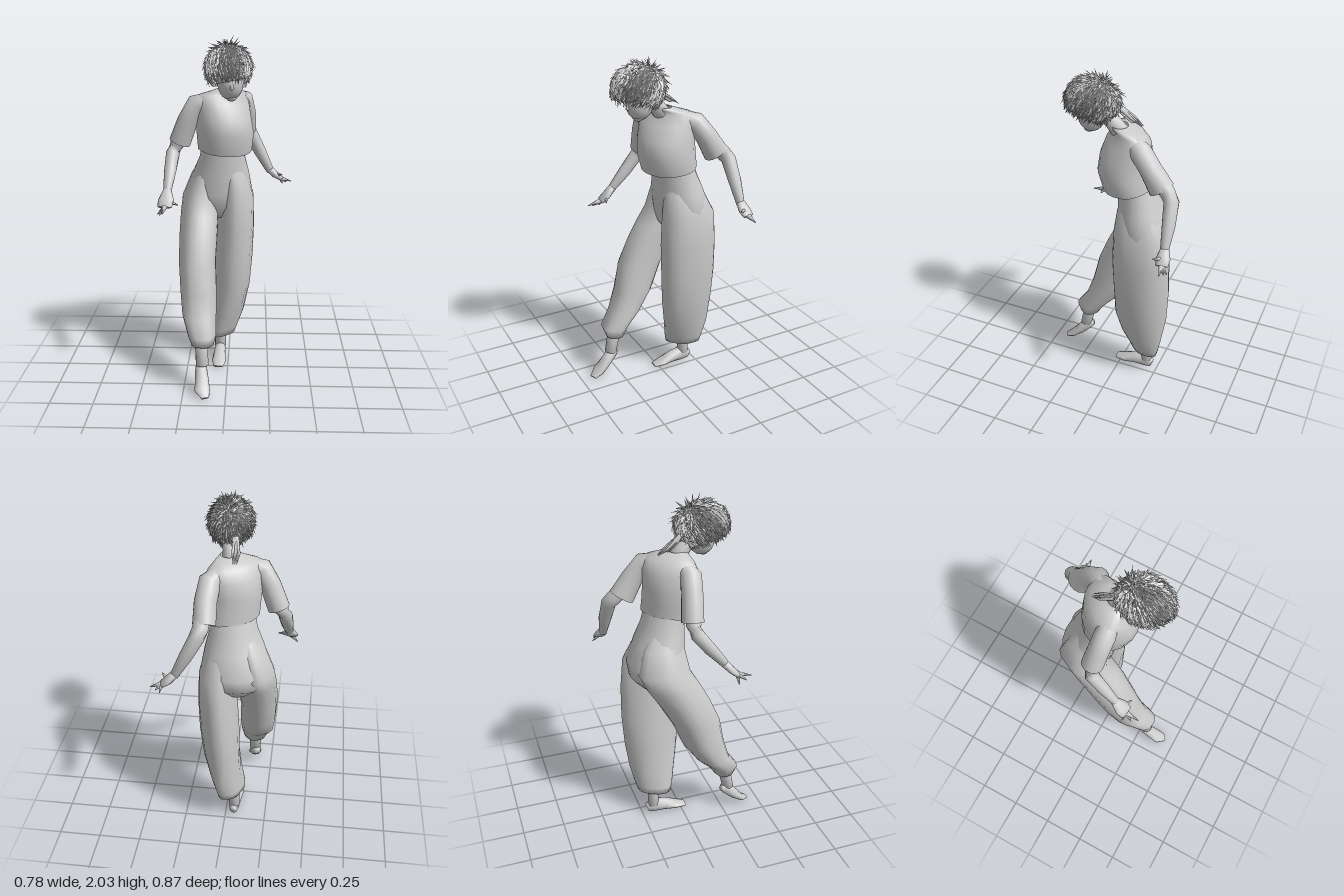
import * as THREE from 'three';

const material = new THREE.MeshStandardMaterial({ color: 0xcccccc, side: THREE.DoubleSide });
const V = (x, y, z) => new THREE.Vector3(x, y, z);
const SIDES = 20;

function seeded(seed) {
  return () => (seed = (seed * 16807) % 2147483647) / 2147483647;
}

function add(group, name, geometry) {
  const mesh = new THREE.Mesh(geometry, material);
  mesh.name = name;
  group.add(mesh);
}

// Skin through rings; point(ring, angle) returns a position
function skin(rings, point, sides = SIDES) {
  const positions = [], index = [];
  rings.forEach((ring, i) => {
    for (let j = 0; j < sides; j++) {
      positions.push(...point(ring, (j / sides) * Math.PI * 2).toArray());
      if (i === rings.length - 1) continue;
      const a = i * sides + j, b = i * sides + (j + 1) % sides;
      index.push(a, b, a + sides, b, b + sides, a + sides);
    }
  });
  const geometry = new THREE.BufferGeometry();
  geometry.setAttribute('position', new THREE.Float32BufferAttribute(positions, 3));
  geometry.setIndex(index);
  geometry.computeVertexNormals();
  return geometry;
}

// Level rings, top to bottom: [x, y, z, halfWidth, halfDepth, yaw, tilt]
function loft(rings, fold = 0, count = 5) {
  return skin(rings, ([x, y, z, w, d, yaw = 0, tilt = 0], t) => {
    const k = 1 + fold * Math.cos(count * t + y * 3);
    const px = w * k * Math.cos(t), pz = d * k * Math.sin(t);
    return V(x + px * Math.cos(yaw) + pz * Math.sin(yaw), y + tilt * Math.sin(t),
      z - px * Math.sin(yaw) + pz * Math.cos(yaw));
  });
}

// Rings square to a path: [x, y, z, radiusA, radiusB]
function limb(path, { up = V(0, 1, 0), open = false, sides = 12 } = {}) {
  const pts = path.map(p => V(p[0], p[1], p[2]));
  const rings = path.map((p, i) => {
    const t = pts[Math.min(i + 1, pts.length - 1)].clone().sub(pts[Math.max(i - 1, 0)]).normalize();
    const u = up.clone().cross(t).normalize();
    return { c: pts[i], u, v: t.clone().cross(u), a: p[3], b: p[4] ?? p[3] };
  });
  if (!open) {
    rings.unshift({ ...rings[0], a: 0, b: 0 });
    rings.push({ ...rings[rings.length - 1], a: 0, b: 0 });
  }
  return skin(rings, (r, t) => r.c.clone().addScaledVector(r.u, r.a * Math.cos(t))
    .addScaledVector(r.v, r.b * Math.sin(t)), sides);
}

function ellipsoid(center, radii, thetaLength = Math.PI, tilt = 0) {
  return new THREE.SphereGeometry(1, 24, 16, 0, Math.PI * 2, 0, thetaLength)
    .rotateX(tilt).scale(...radii).translate(...center);
}

// Short pointed locks laid over the hair cap, running down from the crown
function hairLocks(center, radii, count) {
  const random = seeded(71), positions = [];
  const crown = V(0, 0.85, -0.53);
  const scale = V(...radii), origin = V(...center);
  for (let n = 0; n < count;) {
    const y = random() * 1.75 - 0.75, turn = random() * Math.PI * 2, s = Math.sqrt(1 - y * y);
    const dir = V(s * Math.cos(turn), y, s * Math.sin(turn));
    if (y < -0.42 + 0.35 * dir.z) continue;
    n++;
    const flow = dir.clone().multiplyScalar(crown.dot(dir)).sub(crown);
    flow.add(V(random() - 0.5, random() - 0.5, random() - 0.5).multiplyScalar(0.5)).normalize();
    const side = flow.clone().cross(dir).normalize();
    const root = dir.clone().multiply(scale).add(origin);
    const length = 0.04 + random() * 0.035, width = 0.005 + random() * 0.005;
    const left = root.clone().addScaledVector(side, -width);
    const right = root.clone().addScaledVector(side, width);
    const ridge = root.clone().addScaledVector(dir, 0.008);
    const tip = root.clone().addScaledVector(flow, length).addScaledVector(dir, random() * 0.012 - 0.01);
    for (const p of [left, ridge, tip, ridge, right, tip]) positions.push(p.x, p.y, p.z);
  }
  const geometry = new THREE.BufferGeometry();
  geometry.setAttribute('position', new THREE.Float32BufferAttribute(positions, 3));
  geometry.computeVertexNormals();
  return geometry;
}

export function createModel() {
  const model = new THREE.Group();
  model.name = 'steppingFigure';

  // Head, bent forward
  const head = new THREE.Group();
  head.name = 'head';
  model.add(head);
  add(head, 'skull', ellipsoid([0.01, 1.85, 0.13], [0.095, 0.105, 0.115]));
  add(head, 'face', ellipsoid([0.02, 1.78, 0.15], [0.072, 0.095, 0.078], Math.PI, 0.3));
  add(head, 'nose', limb([[0.027, 1.79, 0.218, 0.007], [0.03, 1.757, 0.228, 0.011], [0.03, 1.75, 0.212, 0.008]],
    { up: V(0, 0, 1), sides: 8 }));
  add(head, 'chin', ellipsoid([0.025, 1.703, 0.163], [0.03, 0.024, 0.03]));
  add(head, 'neck', limb([[-0.015, 1.66, -0.03, 0.052], [-0.005, 1.74, 0.03, 0.045], [0.005, 1.82, 0.1, 0.046]]));

  // Hair
  const hairCenter = [0.008, 1.86, 0.15], hairRadii = [0.12, 0.122, 0.15];
  add(head, 'hairCap', ellipsoid(hairCenter, hairRadii, Math.PI * 0.65, -0.28));
  add(head, 'hairLocks', hairLocks(hairCenter, hairRadii, 1800));
  for (let i = 0; i < 7; i++) {
    const o = (i - 3) * 0.003, drop = (i % 3) * 0.01;
    add(head, 'ponytailStrand', limb([[-0.025 + o, 1.84, 0.03, 0.012], [-0.037 + o, 1.805 - drop, -0.02, 0.011],
      [-0.042 + o * 2, 1.77 - drop, -0.07, 0.007], [-0.043 + o, 1.73 + drop, -0.125 + drop * 2, 0.001]], { sides: 5 }));
  }

  // Loose cropped top, turned toward the left
  const turn = 0.66;
  add(model, 'top', loft([
    [-0.003, 1.735, -0.005, 0.052, 0.048, turn],
    [-0.01, 1.722, -0.02, 0.085, 0.062, turn],
    [-0.032, 1.7, -0.05, 0.155, 0.08, turn],
    [-0.03, 1.64, -0.05, 0.17, 0.122, turn],
    [-0.025, 1.55, -0.038, 0.17, 0.15, turn],
    [-0.015, 1.47, -0.035, 0.172, 0.157, turn, -0.005],
    [-0.018, 1.375, -0.055, 0.165, 0.143, turn, -0.025],
  ], 0.015, 6));

  // Waist and seat of the trousers
  add(model, 'waistAndHips', loft([
    [-0.03, 1.47, -0.07, 0.125, 0.1, 0.6],
    [-0.035, 1.33, -0.098, 0.137, 0.11, 0.5],
    [-0.045, 1.22, -0.125, 0.172, 0.136, 0.3],
    [-0.055, 1.1, -0.155, 0.2, 0.157, 0.1],
    [-0.06, 1.02, -0.155, 0.18, 0.148, 0.05],
    [-0.062, 0.95, -0.15, 0.09, 0.09],
    [-0.06, 0.93, -0.15, 0, 0],
  ]));

  // Baggy trouser legs gathered at the ankles
  add(model, 'leftTrouserLeg', loft([
    [0.01, 1.34, -0.11, 0.05, 0.07],
    [0.03, 1.22, -0.13, 0.075, 0.122],
    [0.048, 1.08, -0.155, 0.107, 0.165],
    [0.049, 0.9, -0.157, 0.111, 0.176],
    [0.038, 0.7, -0.162, 0.114, 0.173],
    [0.025, 0.5, -0.16, 0.107, 0.163],
    [0, 0.32, -0.163, 0.09, 0.138, -0.25],
    [-0.028, 0.21, -0.166, 0.075, 0.118, -0.45],
    [-0.034, 0.165, -0.166, 0.064, 0.108, -0.5],
    [-0.045, 0.19, -0.175, 0.03, 0.03],
  ], 0.035));
  add(model, 'rightTrouserLeg', loft([
    [-0.09, 1.34, -0.09, 0.05, 0.065],
    [-0.135, 1.22, -0.125, 0.08, 0.115],
    [-0.162, 1.08, -0.135, 0.11, 0.15],
    [-0.168, 0.98, -0.08, 0.113, 0.155],
    [-0.172, 0.87, -0.015, 0.113, 0.15],
    [-0.178, 0.72, 0.06, 0.109, 0.14],
    [-0.17, 0.55, 0.115, 0.107, 0.122],
    [-0.163, 0.42, 0.18, 0.1, 0.1],
    [-0.145, 0.33, 0.255, 0.083, 0.088],
    [-0.14, 0.27, 0.262, 0.065, 0.058],
    [-0.145, 0.3, 0.255, 0.03, 0.03],
  ], 0.04));

  // Bare shins and feet: left flat, right reaching on its toes
  const down = { up: V(0, 0, 1) };
  add(model, 'leftShin', limb([[-0.05, 0.3, -0.17, 0.042], [-0.052, 0.16, -0.177, 0.034], [-0.053, 0.06, -0.178, 0.035]], down));
  add(model, 'leftFoot', limb([[-0.05, 0.035, -0.218, 0.022, 0.03], [-0.052, 0.05, -0.175, 0.033, 0.048],
    [-0.055, 0.042, -0.1, 0.038, 0.038], [-0.055, 0.024, -0.03, 0.044, 0.019], [-0.058, 0.014, 0.03, 0.03, 0.009]]));
  add(model, 'rightShin', limb([[-0.145, 0.37, 0.24, 0.042], [-0.143, 0.24, 0.275, 0.038], [-0.14, 0.15, 0.295, 0.036]], down));
  add(model, 'rightFoot', limb([[-0.15, 0.155, 0.25, 0.02, 0.022], [-0.147, 0.135, 0.285, 0.034, 0.038],
    [-0.14, 0.08, 0.335, 0.04, 0.032], [-0.135, 0.035, 0.385, 0.045, 0.02], [-0.115, 0.012, 0.43, 0.024, 0.008]]));

  // Arms: sleeve, bare arm, palm and pointed fingers
  const arms = [
    {
      side: 'left',
      sleeve: [[0.04, 1.67, -0.1, 0.045], [0.085, 1.645, -0.165, 0.062], [0.1, 1.56, -0.23, 0.062], [0.1, 1.455, -0.295, 0.064, 0.074]],
      arm: [[0.1, 1.56, -0.23, 0.045], [0.115, 1.45, -0.335, 0.045], [0.133, 1.41, -0.365, 0.043],
        [0.195, 1.29, -0.375, 0.037], [0.258, 1.17, -0.378, 0.024]],
      palm: [[0.25, 1.185, -0.378, 0.024], [0.29, 1.145, -0.385, 0.04, 0.022], [0.325, 1.12, -0.39, 0.035, 0.014]],
      tips: [[0.39, 1.1, -0.398], [0.36, 1.09, -0.415], [0.335, 1.08, -0.425]],
      thumb: [0.33, 1.155, -0.338],
    },
    {
      side: 'right',
      sleeve: [[-0.1, 1.67, 0.01, 0.045], [-0.175, 1.645, 0.02, 0.06], [-0.228, 1.55, 0.01, 0.06], [-0.278, 1.42, -0.005, 0.063]],
      arm: [[-0.22, 1.56, 0.01, 0.045], [-0.295, 1.41, -0.005, 0.042], [-0.318, 1.36, 0.01, 0.04],
        [-0.328, 1.27, 0.08, 0.036], [-0.338, 1.17, 0.165, 0.024]],
      palm: [[-0.338, 1.175, 0.16, 0.024], [-0.342, 1.125, 0.205, 0.046, 0.02], [-0.347, 1.095, 0.24, 0.042, 0.014]],
      tips: [[-0.352, 1.075, 0.322], [-0.372, 1.06, 0.285], [-0.39, 1.05, 0.235]],
      thumb: [-0.272, 1.105, 0.235],
    },
  ];
  for (const { side, sleeve, arm, palm, tips, thumb } of arms) {
    const group = new THREE.Group();
    group.name = `${side}Arm`;
    model.add(group);
    add(group, 'sleeve', limb(sleeve, { up: V(0, 0, 1), open: true, sides: 16 }));
    add(group, 'forearm', limb(arm));
    add(group, 'palm', limb(palm));
    const knuckle = palm[2].slice(0, 3);
    for (const tip of tips) add(group, 'finger', limb([[...knuckle, 0.016], [...tip, 0.002]], { sides: 6 }));
    add(group, 'thumb', limb([[...palm[1].slice(0, 3), 0.018], [...thumb, 0.003]], { sides: 6 }));
  }
  return model;
}
